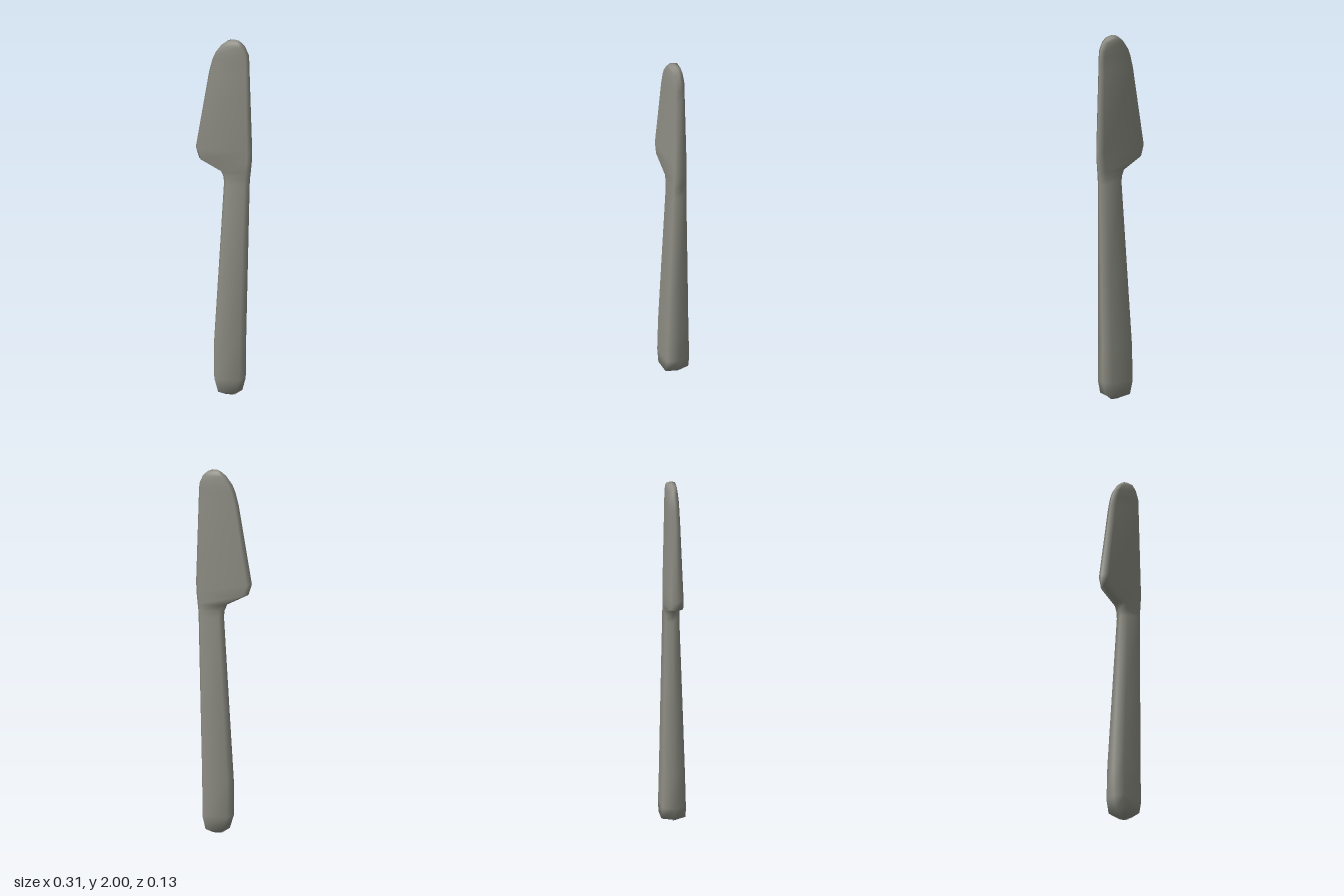
import * as THREE from 'three';
import { mergeVertices } from 'three/addons/utils/BufferGeometryUtils.js';

// Cross-sections from butt to tip: height, left edge, right edge, half thickness, bevel
const SECTIONS = [
  [0.0, 0.01, 0.06, 0, 0.012],
  [0.03, -0.033, 0.102, 0.066, 0.018],
  [0.1, -0.055, 0.121, 0.064, 0.019],
  [0.3, -0.055, 0.123, 0.059, 0.02],
  [0.7, -0.03, 0.132, 0.05, 0.02],
  [1.19, 0.0, 0.143, 0.038, 0.02],
  [1.225, -0.003, 0.145, 0.037, 0.02],
  [1.26, -0.018, 0.149, 0.036, 0.02],
  [1.32, -0.138, 0.155, 0.035, 0.02],
  [1.38, -0.157, 0.157, 0.034, 0.02],
  [1.81, -0.083, 0.143, 0.027, 0.015],
  [1.88, -0.065, 0.141, 0.026, 0.014],
  [1.92, -0.048, 0.138, 0.026, 0.014],
  [1.965, -0.015, 0.118, 0.025, 0.014],
  [1.988, 0.015, 0.092, 0.024, 0.014],
  [2.0, 0.038, 0.064, 0, 0.006],
];

// Six-sided loft: a ridge on each edge and a flat face front and back
function loft(sections) {
  const positions = [];
  const index = [];
  sections.forEach(([y, left, right, h, bevel], i) => {
    positions.push(
      left, y, 0, left + bevel, y, h, right - bevel, y, h,
      right, y, 0, right - bevel, y, -h, left + bevel, y, -h,
    );
    if (i === 0) return;
    for (let j = 0; j < 6; j++) {
      const k = (j + 1) % 6;
      const a = (i - 1) * 6;
      const b = i * 6;
      index.push(a + j, a + k, b + k, a + j, b + k, b + j);
    }
  });
  const geometry = new THREE.BufferGeometry();
  geometry.setAttribute('position', new THREE.Float32BufferAttribute(positions, 3));
  geometry.setIndex(index);
  const merged = mergeVertices(geometry, 1e-5);
  merged.computeVertexNormals();
  return merged;
}

export function createModel() {
  const group = new THREE.Group();
  group.name = 'knife';

  const metal = new THREE.MeshStandardMaterial({ color: 0x8e8e85 });
  metal.name = 'dull grey metal';

  // Handle and blade are one continuous piece
  const body = new THREE.Mesh(loft(SECTIONS), metal);
  body.name = 'handleAndBlade';
  group.add(body);
  return group;
}
